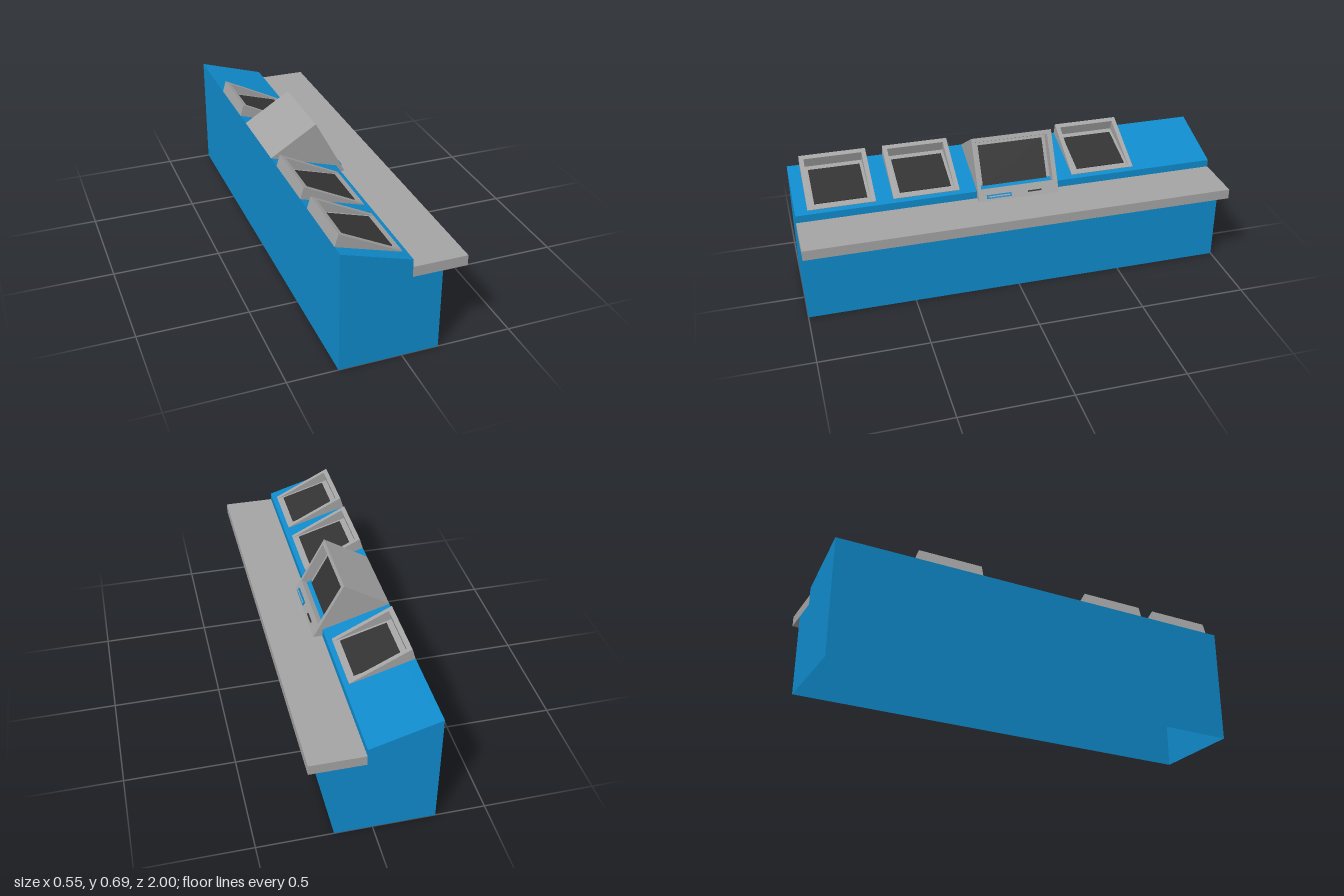
import * as THREE from 'three';

const mat = (name, color, side = THREE.FrontSide) => {
  const m = new THREE.MeshStandardMaterial({ color, side });
  m.name = name;
  return m;
};

const shapeOf = (pts) => new THREE.Shape(pts.map(([x, y]) => new THREE.Vector2(x, y)));

// Height of the sloping desk top at x
const deskY = (x) => 0.46 + 0.299 * (0.033 - x);

export function createModel() {
  const model = new THREE.Group();
  model.name = 'controlDesk';
  const blue = mat('blue panel', 0x0f8bcc, THREE.DoubleSide);
  const grey = mat('grey casing', 0xa4a4a4);
  const dark = mat('dark screen', 0x333333);

  const add = (parent, name, geometry, material) => {
    const mesh = new THREE.Mesh(geometry, material);
    mesh.name = name;
    parent.add(mesh);
    return mesh;
  };

  // Side profile (x, y) extruded from z0 to z1
  const prism = (parent, name, pts, z0, z1, material) => {
    const g = new THREE.ExtrudeGeometry(shapeOf(pts), { depth: z1 - z0, bevelEnabled: false });
    g.translate(0, 0, z0);
    return add(parent, name, g, material);
  };

  // Thin plate on the line p-q, raised by h to the upper/front side
  const plate = (parent, name, p, q, h, z0, z1, material) => {
    const len = Math.hypot(q[0] - p[0], q[1] - p[1]);
    const nx = -(q[1] - p[1]) / len * h, ny = (q[0] - p[0]) / len * h;
    return prism(parent, name, [p, q, [q[0] + nx, q[1] + ny], [p[0] + nx, p[1] + ny]], z0, z1, material);
  };

  // Cabinet: open underneath, walls follow the profile
  const profile = [[0.166, 0], [0.166, 0.378], [0.033, 0.378], [0.033, 0.46], [-0.278, 0.553], [-0.278, 0]];
  const cabinet = new THREE.Group();
  cabinet.name = 'cabinet';
  model.add(cabinet);
  const verts = [];
  for (let i = 0; i < profile.length - 1; i++) {
    const [ax, ay] = profile[i], [bx, by] = profile[i + 1];
    verts.push(ax, ay, 1, ax, ay, -1, bx, by, -1, ax, ay, 1, bx, by, -1, bx, by, 1);
  }
  const walls = new THREE.BufferGeometry();
  walls.setAttribute('position', new THREE.Float32BufferAttribute(verts, 3));
  walls.computeVertexNormals();
  add(cabinet, 'cabinetWalls', walls, blue);
  add(cabinet, 'leftEnd', new THREE.ShapeGeometry(shapeOf(profile)), blue).position.z = 1;
  const farEnd = add(cabinet, 'rightEnd', new THREE.ShapeGeometry(shapeOf(profile.map(([x, y]) => [-x, y]))), blue);
  farEnd.rotation.y = Math.PI;
  farEnd.position.z = -1;

  // Counter shelf
  const shelf = add(model, 'counterShelf', new THREE.BoxGeometry(0.243, 0.047, 2), grey);
  shelf.position.set(0.1545, 0.4015, 0);

  // Small wedge-shaped consoles with sunken screens
  const half = 0.155, wall = 0.021;
  for (const z of [0.788, 0.398, -0.459]) {
    const c = new THREE.Group();
    c.name = 'wedgeConsole';
    c.position.z = z;
    model.add(c);
    const wedge = [[-0.278, 0.553], [0.01, deskY(0.01)], [0.01, 0.47], [-0.262, 0.607]];
    prism(c, 'consoleSide', wedge, half - wall, half, grey);
    prism(c, 'consoleSide', wedge, -half, -half + wall, grey);
    prism(c, 'consoleBack', [[-0.278, 0.553], [-0.258, deskY(-0.258)], [-0.242, 0.597], [-0.262, 0.607]],
      -half + wall, half - wall, grey);
    plate(c, 'consoleFloor', [-0.262, deskY(-0.262)], [0.01, deskY(0.01)], 0.003, -half + wall, half - wall, grey);
    plate(c, 'consoleScreen', [-0.232, deskY(-0.232)], [-0.02, deskY(-0.02)], 0.006, -0.12, 0.12, dark);
  }

  // Main monitor: full-profile cheeks around a notched middle
  const monitor = new THREE.Group();
  monitor.name = 'mainMonitor';
  model.add(monitor);
  const base = [[-0.278, 0.553], [0.033, 0.46], [0.033, 0.425], [0.075, 0.425]];
  const peak = [-0.065, 0.685];
  const low = [0.007, 0.454], high = [-0.097, 0.646];
  prism(monitor, 'monitorSide', [...base, peak], 0.15, 0.166, grey);
  prism(monitor, 'monitorSide', [...base, peak], -0.219, -0.197, grey);
  prism(monitor, 'monitorBody', [...base, [0.0475, 0.476], low, high, [-0.056, 0.668], peak], -0.197, 0.15, grey);

  // Monitor screen on the recess floor
  const along = (t) => [high[0] + (low[0] - high[0]) * t, high[1] + (low[1] - high[1]) * t];
  plate(monitor, 'monitorScreen', along(0.06), along(0.94), 0.004, -0.18, 0.13, dark);

  // Slots on the lower front panel
  const face = (y) => [-0.065 + (0.685 - y) * 0.5385, y];
  plate(monitor, 'wideSlotFrame', face(0.45), face(0.434), 0.006, 0.01, 0.128, blue);
  plate(monitor, 'wideSlotInset', face(0.4445), face(0.4395), 0.007, 0.017, 0.121, grey);
  plate(monitor, 'narrowSlot', face(0.447), face(0.441), 0.005, -0.135, -0.07, dark);

  return model;
}
